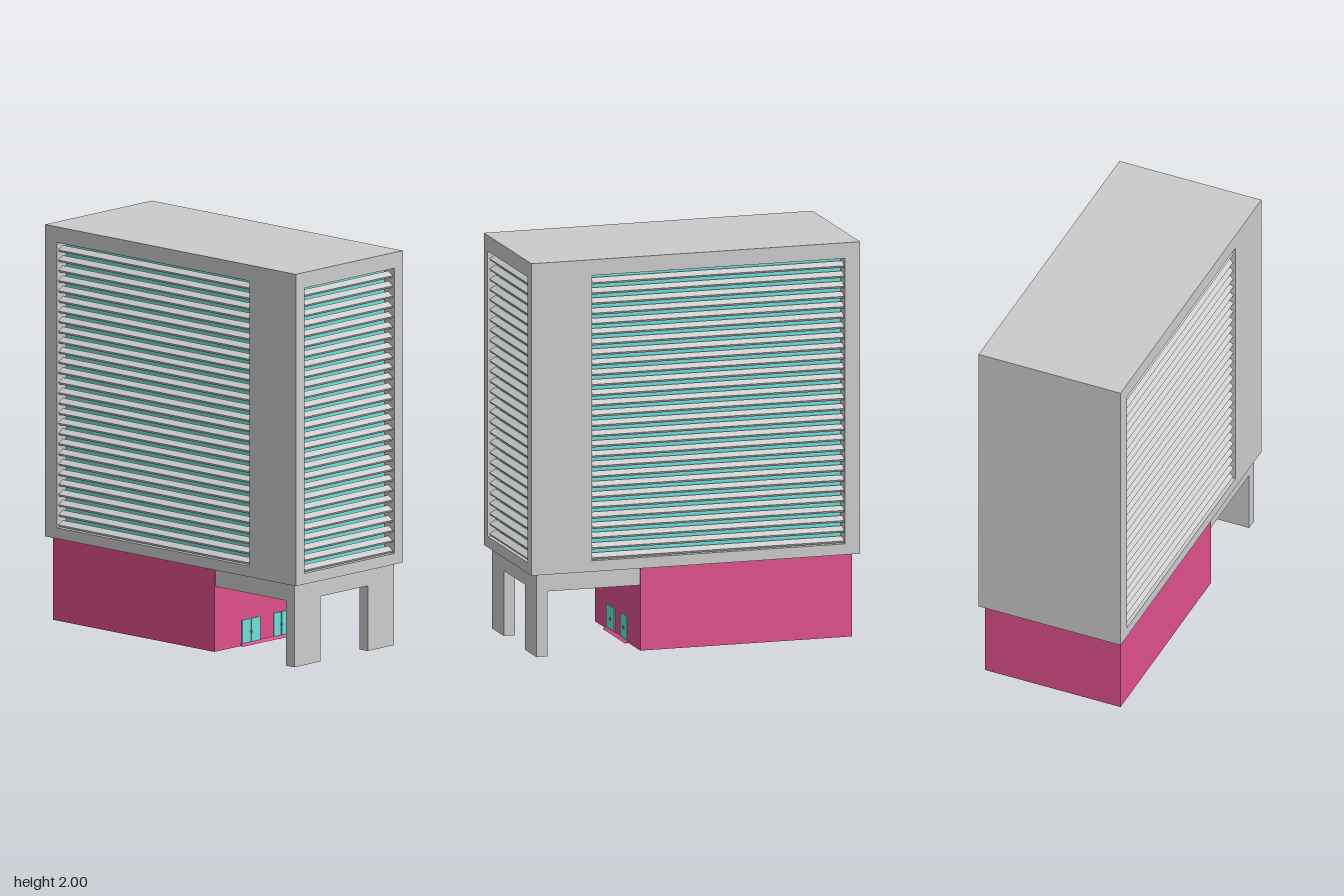
import * as THREE from 'three';

const grey = new THREE.MeshStandardMaterial({ color: 0xcccccc });
const teal = new THREE.MeshStandardMaterial({ color: 0x6fe0d8 });
const pink = new THREE.MeshStandardMaterial({ color: 0xe04f8c });

const BOTTOM = 0.42, TOP = 2, HALF_X = 0.385, HALF_Z = 0.855, DEPTH = 0.07;
const WIN_LOW = 0.475, WIN_HIGH = 1.92;

// box given by its min and max along each axis
function box(name, mat, x0, x1, y0, y1, z0, z1) {
  const mesh = new THREE.Mesh(new THREE.BoxGeometry(x1 - x0, y1 - y0, z1 - z0), mat);
  mesh.position.set((x0 + x1) / 2, (y0 + y1) / 2, (z0 + z1) / 2);
  mesh.name = name;
  return mesh;
}

function rect(target, x0, x1, y0, y1) {
  target.moveTo(x0, y0);
  target.lineTo(x1, y0);
  target.lineTo(x1, y1);
  target.lineTo(x0, y1);
  target.closePath();
  return target;
}

// wall facing +z with its back at z = 0: recessed window with sloping louvres
function louvredWall(name, x0, x1, w0, w1) {
  const wall = new THREE.Group();
  wall.name = name;
  const shape = rect(new THREE.Shape(), x0, x1, BOTTOM, TOP);
  shape.holes.push(rect(new THREE.Path(), w0, w1, WIN_LOW, WIN_HIGH));
  const frame = new THREE.Mesh(new THREE.ExtrudeGeometry(shape, { depth: DEPTH, bevelEnabled: false }), grey);
  frame.name = 'windowFrame';
  wall.add(frame);

  const glass = new THREE.Mesh(new THREE.PlaneGeometry(w1 - w0, WIN_HIGH - WIN_LOW), teal);
  glass.position.set((w0 + w1) / 2, (WIN_LOW + WIN_HIGH) / 2, 0.003);
  glass.name = 'glass';
  wall.add(glass);

  const count = 28, pitch = (WIN_HIGH - WIN_LOW) / count;
  const slatGeometry = new THREE.BoxGeometry(w1 - w0, 0.012, 0.038);
  for (let i = 0; i < count; i++) {
    const slat = new THREE.Mesh(slatGeometry, grey);
    slat.position.set((w0 + w1) / 2, WIN_LOW + 0.017 + i * pitch, 0.04);
    slat.rotation.x = Math.PI / 6;
    slat.name = 'louvre';
    wall.add(slat);
  }
  return wall;
}

// pair of door leaves with round handles
function doorPair(centre, width) {
  const doors = new THREE.Group();
  doors.name = 'doorPair';
  for (const side of [-1, 1]) {
    const a = centre + side * 0.002, b = centre + side * width / 2;
    doors.add(box('doorLeaf', teal, Math.min(a, b), Math.max(a, b), 0.012, 0.13, 0.28, 0.288));
  }
  const handle = new THREE.Mesh(new THREE.TorusGeometry(0.008, 0.0015, 6, 16), grey);
  handle.position.set(centre, 0.065, 0.289);
  handle.name = 'doorHandle';
  doors.add(handle);
  return doors;
}

export function createModel() {
  const model = new THREE.Group();
  model.name = 'officeTower';

  // tower block with louvred front and sides
  const inner = HALF_X - DEPTH, frontBack = HALF_Z - DEPTH;
  model.add(box('towerCore', grey, -inner, inner, BOTTOM, TOP, -HALF_Z, frontBack));

  const front = louvredWall('frontWall', -HALF_X, HALF_X, -0.325, 0.325);
  front.position.z = frontBack;
  model.add(front);

  const left = louvredWall('leftWall', -frontBack, HALF_Z, -0.54, 0.775);
  left.rotation.y = Math.PI / 2;
  left.position.x = inner;
  model.add(left);

  const right = louvredWall('rightWall', -HALF_Z, frontBack, -0.775, 0.54);
  right.rotation.y = -Math.PI / 2;
  right.position.x = -inner;
  model.add(right);

  // ground floor
  model.add(box('groundFloor', pink, -0.368, 0.368, 0, BOTTOM, -0.817, 0.283));

  // portico: slab and two flat pillars
  model.add(box('porticoSlab', grey, -0.36, 0.36, 0.33, BOTTOM, 0.283, 0.82));
  for (const side of [-1, 1]) {
    const pillar = box('porticoPillar', grey, -0.095, 0.095, 0, 0.33, 0.763, 0.82);
    pillar.position.x = side * 0.265;
    model.add(pillar);
  }

  // entrance doors and sloping threshold
  model.add(doorPair(-0.107, 0.13), doorPair(0.11, 0.105));
  const wedge = new THREE.Shape([
    new THREE.Vector2(0, 0), new THREE.Vector2(0.02, 0), new THREE.Vector2(0, 0.012),
  ]);
  const ramp = new THREE.Mesh(new THREE.ExtrudeGeometry(wedge, { depth: 0.36, bevelEnabled: false }), pink);
  ramp.rotation.y = -Math.PI / 2;
  ramp.position.set(0.18, 0, 0.283);
  ramp.name = 'threshold';
  model.add(ramp);

  return model;
}
